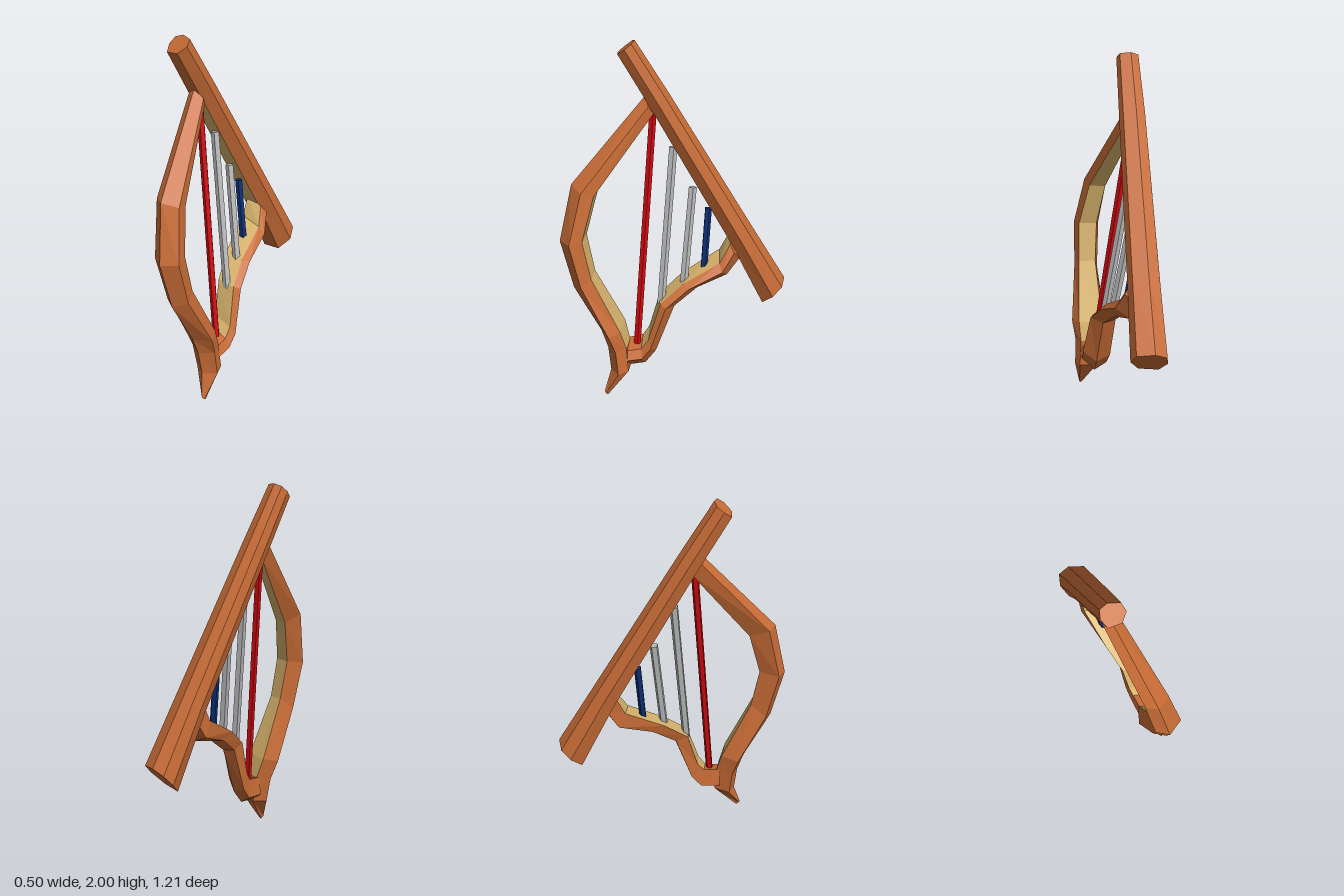
import * as THREE from 'three';

const paint = (name, color) => new THREE.MeshStandardMaterial({ name, color, flatShading: true });

// Loft a faceted bar. Each ring is [outerZ, outerY, innerZ, innerY, leftX, rightX];
// section corners are [across, outer-to-inner] fractions. One strip of faces, from
// ring `from` to ring `to`, takes the second material.
function loft(name, rings, section, materials, strip, from, to) {
  const n = section.length;
  const pts = rings.map(([zo, yo, zi, yi, x0, x1]) => section.map(([u, v]) =>
    [x0 + (x1 - x0) * u, yo + (yi - yo) * v, zo + (zi - zo) * v]));
  const body = [], inlay = [];
  for (let i = 0; i < rings.length - 1; i++) {
    for (let k = 0; k < n; k++) {
      const a = pts[i][k], b = pts[i][(k + 1) % n];
      const c = pts[i + 1][(k + 1) % n], d = pts[i + 1][k];
      const target = k === strip && i >= from && i < to ? inlay : body;
      target.push(...a, ...d, ...c, ...a, ...c, ...b);
    }
  }
  // End caps
  const first = pts[0], last = pts[pts.length - 1];
  for (let k = 1; k < n - 1; k++) {
    body.push(...first[0], ...first[k], ...first[k + 1]);
    body.push(...last[0], ...last[k + 1], ...last[k]);
  }
  const geo = new THREE.BufferGeometry();
  geo.setAttribute('position', new THREE.Float32BufferAttribute([...body, ...inlay], 3));
  geo.addGroup(0, body.length / 3, 0);
  geo.addGroup(body.length / 3, inlay.length / 3, 1);
  geo.computeVertexNormals();
  const mesh = new THREE.Mesh(geo, materials);
  mesh.name = name;
  return mesh;
}

// Straight string between two points
function stringBar(name, from, to, radius, material) {
  const a = new THREE.Vector3(...from), b = new THREE.Vector3(...to);
  const dir = b.clone().sub(a);
  const mesh = new THREE.Mesh(new THREE.CylinderGeometry(radius, radius, dir.length(), 5), material);
  mesh.position.copy(a).add(b).multiplyScalar(0.5);
  mesh.quaternion.setFromUnitVectors(new THREE.Vector3(0, 1, 0), dir.normalize());
  mesh.name = name;
  return mesh;
}

export function createModel() {
  const harp = new THREE.Group();
  harp.name = 'harp';
  const wood = paint('brownWood', 0xc86c36);
  const pale = paint('paleWood', 0xd9b46d);
  const red = paint('redString', 0xcc0a10);
  const grey = paint('greyString', 0xbababa);
  const blue = paint('blueString', 0x0c2f74);
  const woods = [wood, pale];

  // Straight beam at the back, from its thick lower end up to the tip
  harp.add(loft('beam', [
    [-0.60, 0.62, -0.47, 0.48, -0.25, -0.06],
    [-0.41, 0.94, -0.28, 0.87, -0.22, -0.05],
    [0.05, 1.72, 0.15, 1.65, -0.16, -0.02],
    [0.22, 2.0, 0.31, 1.93, -0.13, -0.01],
  ], [[0.36, 0], [0.85, 0.08], [1, 0.45], [0.78, 0.9], [0.22, 1], [0, 0.6], [0.03, 0.2]],
  woods, 3, 1, 2));

  // Curved front pillar running down to the pointed foot
  harp.add(loft('pillar', [
    [0.17, 1.71, 0.12, 1.62, -0.12, -0.03],
    [0.54, 1.27, 0.41, 1.22, 0.04, 0.17],
    [0.605, 0.96, 0.47, 0.98, 0.09, 0.235],
    [0.54, 0.68, 0.43, 0.76, 0.10, 0.235],
    [0.40, 0.40, 0.28, 0.43, 0.055, 0.25],
    [0.365, 0.29, 0.25, 0.32, 0.08, 0.23],
    [0.35, 0.15, 0.24, 0.17, 0.10, 0.235],
    [0.385, 0.02, 0.365, 0, 0.20, 0.215],
  ], [[0.5, 0], [1, 0.48], [0.78, 0.96], [0.08, 1], [0, 0.2]], woods, 2, 0, 5));

  // Bent lower arm joining the pillar to the beam
  harp.add(loft('lowerArm', [
    [0.27, 0.17, 0.27, 0.32, 0.08, 0.21],
    [0.16, 0.18, 0.18, 0.33, 0.05, 0.19],
    [0.10, 0.26, 0.145, 0.38, 0.03, 0.185],
    [0.00, 0.54, 0.09, 0.58, 0.00, 0.14],
    [-0.12, 0.63, -0.03, 0.685, -0.07, 0.08],
    [-0.28, 0.68, -0.23, 0.80, -0.16, 0.01],
    [-0.35, 0.78, -0.28, 0.90, -0.17, -0.04],
  ], [[0.5, 0], [1, 0.45], [0.82, 0.8], [0.08, 1], [0, 0.3]], woods, 2, 1, 6));

  // Strings
  [
    ['redString', [-0.08, 1.62, 0.13], [0.12, 0.31, 0.205], 0.02, red],
    ['longGreyString', [-0.085, 1.43, 0.025], [0.065, 0.55, 0.075], 0.023, grey],
    ['shortGreyString', [-0.09, 1.2, -0.08], [0.01, 0.66, -0.045], 0.023, grey],
    ['blueString', [-0.11, 1.07, -0.165], [-0.05, 0.715, -0.15], 0.02, blue],
  ].forEach((s) => harp.add(stringBar(...s)));

  return harp;
}
